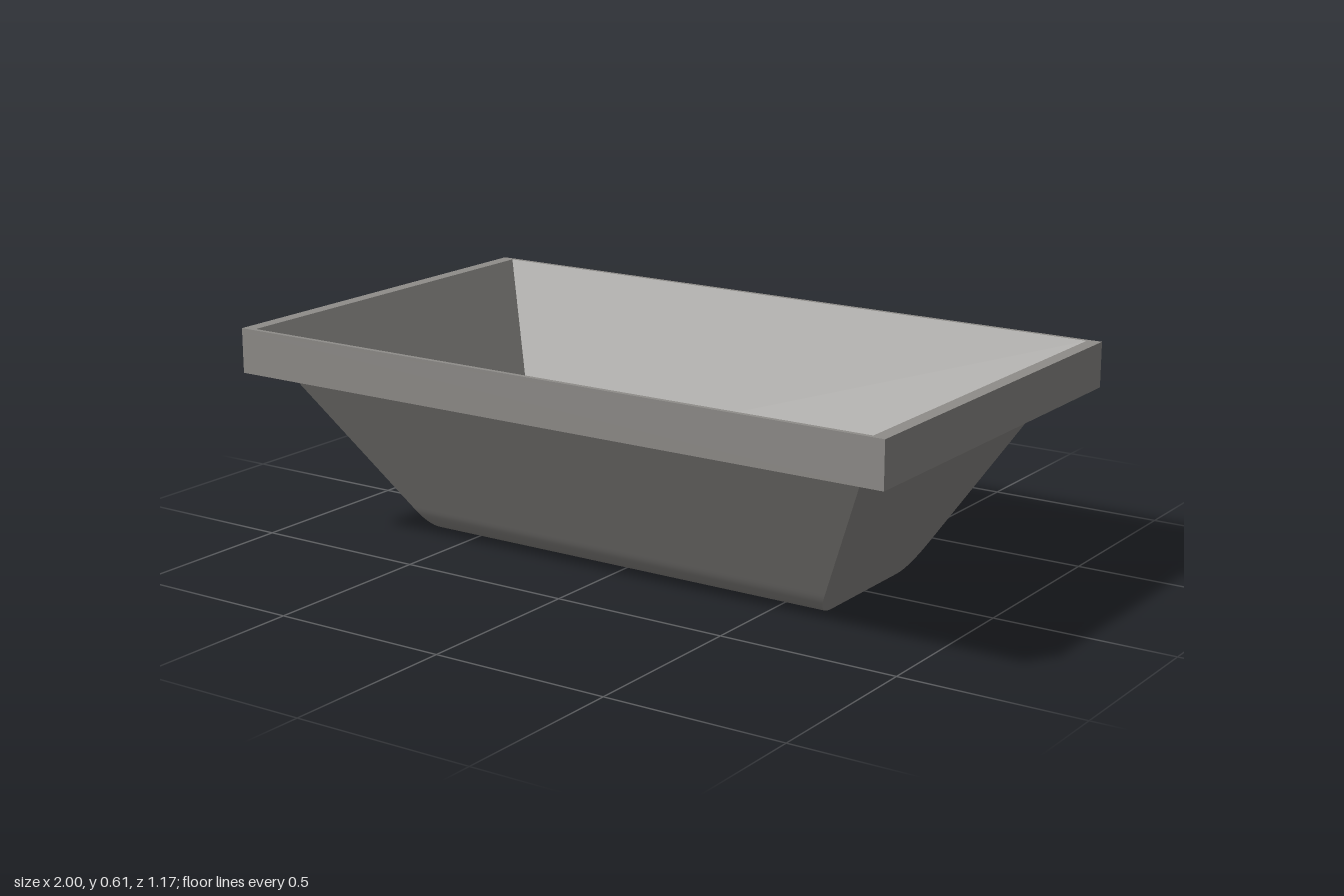
import * as THREE from 'three';

const HALF_X = 1, HALF_Z = 0.583, HEIGHT = 0.605, LIP_BOTTOM = 0.48;
const WALL = 0.02; // vertical gap between the outer and inner skins
const endX = y => 0.625 + 0.575 * y; // sloping end walls
const sideZ = y => 0.236 + 0.57 * y; // sloping long walls

// Cross-section of the trough from the +z top edge, under the floor, to the -z top edge
function section(top) {
  const v = (z, y) => new THREE.Vector2(z, y);
  const bend = new THREE.QuadraticBezierCurve(v(sideZ(0.07), 0.07), v(sideZ(0), 0), v(0.17, 0)).getPoints(10);
  const half = [v(sideZ(top), top), v(sideZ(0.08), 0.08), ...bend, v(0.16, 0)];
  return [...half, ...half.map(p => v(-p.x, p.y)).reverse()];
}

// Skin: the section swept between two sloping ends, with a flat cap at each end
function skinGeometry(top, inward) {
  const pts = section(top), n = pts.length, pos = [], idx = [];
  const tri = (a, b, c) => (inward ? idx.push(a, c, b) : idx.push(a, b, c));
  for (const cap of [0, 1]) {
    for (const side of [-1, 1]) for (const p of pts) pos.push(side * endX(p.y), p.y, p.x);
  }
  for (let i = 0; i < n - 1; i++) {
    tri(i, i + 1, n + i + 1);
    tri(i, n + i + 1, n + i);
  }
  for (let i = 1; i < n - 1; i++) {
    tri(2 * n, 2 * n + i + 1, 2 * n + i);
    tri(3 * n, 3 * n + i, 3 * n + i + 1);
  }
  const g = new THREE.BufferGeometry();
  g.setAttribute('position', new THREE.Float32BufferAttribute(pos, 3));
  g.setIndex(idx);
  g.computeVertexNormals();
  return g;
}

// Rectangular frame lying flat, with an opening of the given half sizes
function frameGeometry(holeX, holeZ, y0, y1) {
  const rect = (T, x, z) => {
    const s = new T();
    s.moveTo(-x, -z);
    s.lineTo(x, -z);
    s.lineTo(x, z);
    s.lineTo(-x, z);
    s.closePath();
    return s;
  };
  const shape = rect(THREE.Shape, HALF_X, HALF_Z);
  shape.holes.push(rect(THREE.Path, holeX, holeZ));
  const g = new THREE.ExtrudeGeometry(shape, { depth: y1 - y0, bevelEnabled: false });
  return g.rotateX(-Math.PI / 2).translate(0, y0, 0);
}

export function createModel() {
  const group = new THREE.Group();
  const grey = new THREE.MeshStandardMaterial({ color: 0x8f8d8a, side: THREE.DoubleSide });
  grey.name = 'warm grey';
  const add = (name, geometry) => {
    const mesh = new THREE.Mesh(geometry, grey);
    mesh.name = name;
    group.add(mesh);
    return mesh;
  };

  // Thin-walled trough
  add('outerSkin', skinGeometry(HEIGHT - 0.01, false));
  add('innerSkin', skinGeometry(HEIGHT - WALL, true)).position.y = WALL;

  // Hollow turned-down lip and the narrow rim above it
  add('lip', frameGeometry(HALF_X - 0.01, HALF_Z - 0.01, LIP_BOTTOM, HEIGHT - 0.01));
  add('rim', frameGeometry(endX(HEIGHT - WALL), sideZ(HEIGHT - WALL), HEIGHT - 0.01, HEIGHT));

  // Faint raised spot in the middle of the floor
  add('floorSpot', new THREE.CylinderGeometry(0.02, 0.06, 0.004, 32)).position.y = WALL + 0.002;
  return group;
}
